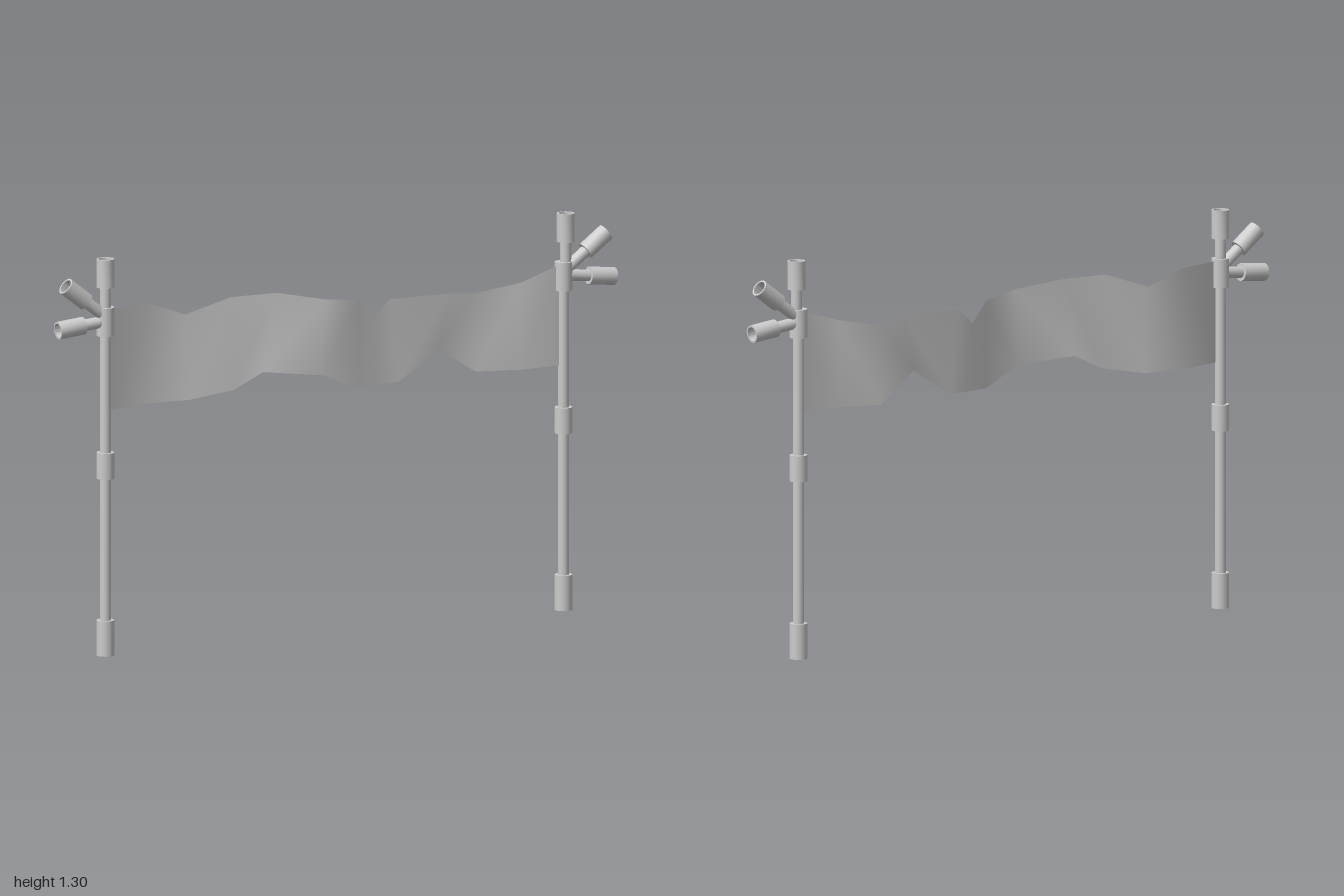
import * as THREE from 'three';
import { toCreasedNormals } from 'three/addons/utils/BufferGeometryUtils.js';

const material = new THREE.MeshStandardMaterial({ color: 0xcccccc });
const clothMaterial = new THREE.MeshStandardMaterial({ color: 0xcccccc, side: THREE.DoubleSide });
const POLE_Z = -0.01, POLE_R = 0.018, COLLAR_R = 0.029, SIDES = 16;
const UP = new THREE.Vector3(0, 1, 0);

// Places a geometry that runs along +y from a to b
function along(name, geometry, a, b) {
  const mesh = new THREE.Mesh(geometry, material);
  mesh.name = name;
  mesh.position.copy(a);
  mesh.quaternion.setFromUnitVectors(UP, b.clone().sub(a).normalize());
  return mesh;
}

// Solid round bar between two points
function bar(name, a, b, radius) {
  const length = a.distanceTo(b);
  return along(name, new THREE.CylinderGeometry(radius, radius, length, SIDES).translate(0, length / 2, 0), a, b);
}

// Cup with a recessed open end at b
function cup(name, a, b) {
  const length = a.distanceTo(b), inner = COLLAR_R - 0.006, floor = length - 0.05;
  const profile = [[0, 0], [COLLAR_R, 0], [COLLAR_R, length], [inner, length], [inner, floor], [0, floor]]
    .map(([x, y]) => new THREE.Vector2(x, y));
  return along(name, toCreasedNormals(new THREE.LatheGeometry(profile, SIDES), 0.7), a, b);
}

// Post with collars and three cup-ended arms at the top
function post(name, x, topX, arms) {
  const group = new THREE.Group();
  group.name = name;
  const at = (px, y) => new THREE.Vector3(px, y, POLE_Z);
  group.add(bar('pole', at(x, 0.02), at(x, 1.13), POLE_R));
  for (const [part, y0, y1] of [['foot', 0, 0.115], ['middleCollar', 0.578, 0.663], ['jointCollar', 1.045, 1.138]]) {
    group.add(bar(part, at(x, y0), at(x, y1), COLLAR_R));
  }
  group.add(bar('topNeck', at(topX, 1.1), at(topX, 1.22), POLE_R));
  group.add(cup('topCup', at(topX, 1.203), at(topX, 1.296)));
  for (const [part, root, end] of arms) {
    const a = at(...root), b = at(...end);
    const cupStart = b.clone().addScaledVector(b.clone().sub(a).normalize(), -0.092);
    group.add(bar(part + 'Neck', a, cupStart.clone().lerp(b, 0.2), POLE_R + 0.001));
    group.add(cup(part + 'Cup', cupStart, b));
  }
  return group;
}

// Torn, wavy cloth: each column is [topX, topY, bottomX, bottomY, z]
function banner() {
  const columns = [
    [-0.81, 1.13, -0.81, 0.8, -0.01], [-0.66, 1.13, -0.66, 0.8, -0.05],
    [-0.525, 1.08, -0.51, 0.8, -0.043], [-0.38, 1.13, -0.37, 0.825, -0.008],
    [-0.215, 1.13, -0.265, 0.875, -0.005], [-0.07, 1.105, -0.08, 0.858, 0.05],
    [0.065, 1.085, 0.065, 0.8, 0.018], [0.127, 1.02, 0.145, 0.8, 0.006],
    [0.19, 1.072, 0.225, 0.8, -0.006], [0.4, 1.072, 0.367, 0.892, -0.006],
    [0.517, 1.056, 0.517, 0.8, -0.04], [0.66, 1.085, 0.66, 0.8, 0],
    [0.805, 1.13, 0.805, 0.8, -0.008],
  ];
  const positions = [], indices = [];
  columns.forEach(([tx, ty, bx, by, z], i) => {
    positions.push(bx, by, z, tx, ty, z);
    const k = 2 * i;
    if (i < columns.length - 1) indices.push(k, k + 2, k + 3, k, k + 3, k + 1);
  });
  const geometry = new THREE.BufferGeometry();
  geometry.setAttribute('position', new THREE.Float32BufferAttribute(positions, 3));
  geometry.setIndex(indices);
  geometry.computeVertexNormals();
  const mesh = new THREE.Mesh(geometry, clothMaterial);
  mesh.name = 'banner';
  return mesh;
}

export function createModel() {
  const model = new THREE.Group();
  model.name = 'bannerOnPosts';
  model.add(post('rightPost', -0.829, -0.829, [
    ['lowerArm', [-0.829, 1.092], [-1, 1.076]],
    ['upperArm', [-0.829, 1.106], [-0.972, 1.219]],
  ]));
  model.add(post('leftPost', 0.818, 0.826, [
    ['lowerArm', [0.818, 1.095], [1, 1.074]],
    ['upperArm', [0.818, 1.106], [0.971, 1.221]],
  ]));
  model.add(banner());
  return model;
}
